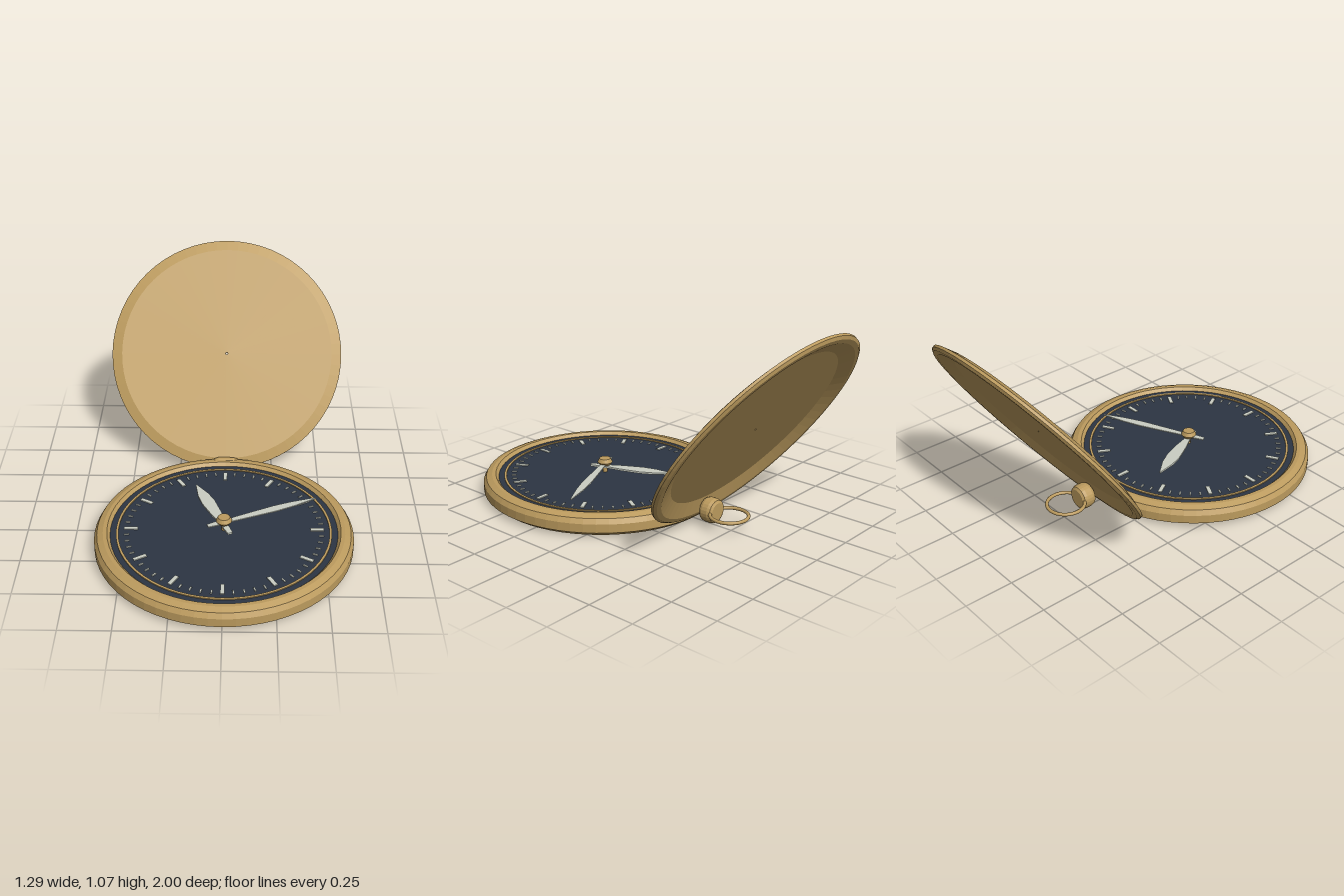
import * as THREE from 'three';

const brass = new THREE.MeshStandardMaterial({ color: 0xbc9b5e });
brass.name = 'brass';
const navy = new THREE.MeshStandardMaterial({ color: 0x2c3543 });
navy.name = 'navy';
const ivory = new THREE.MeshStandardMaterial({ color: 0xcacec3 });
ivory.name = 'ivory';

const SEGMENTS = 64;
const CENTRE_Z = 0.35;
const DIAL_Y = 0.09;

// Gives every face its own flat normal
function faceted(geometry) {
  const flat = geometry.index ? geometry.toNonIndexed() : geometry;
  flat.computeVertexNormals();
  return flat;
}

function add(parent, name, geometry, material, x = 0, y = 0, z = 0) {
  const mesh = new THREE.Mesh(geometry, material);
  mesh.name = name;
  mesh.position.set(x, y, z);
  parent.add(mesh);
  return mesh;
}

function lathe(points, segments = SEGMENTS) {
  return faceted(new THREE.LatheGeometry(points.map(([r, y]) => new THREE.Vector2(r, y)), segments));
}

// Leaf-shaped hand with a short tail, lying flat and pointing to -z
function handGeometry(length, width, tail, thickness) {
  const half = [[0.012, -tail], [0.016, -tail * 0.4], [0.012, 0], [width * 0.38, length * 0.25],
    [width * 0.5, length * 0.55], [width * 0.4, length * 0.75], [0.003, length]];
  const outline = [...half, ...half.slice().reverse().map(([x, y]) => [-x, y])];
  const shape = new THREE.Shape(outline.map(([x, y]) => new THREE.Vector2(x, y)));
  const geometry = new THREE.ExtrudeGeometry(shape, { depth: thickness, bevelEnabled: false });
  return geometry.rotateX(-Math.PI / 2);
}

function createModel() {
  const model = new THREE.Group();
  model.name = 'pocketWatch';

  // Case: bevelled ring, open underneath
  const watch = new THREE.Group();
  watch.name = 'watchBody';
  watch.position.z = CENTRE_Z;
  model.add(watch);
  add(watch, 'case', lathe([
    [0.545, 0.08], [0.545, 0], [0.61, 0], [0.645, 0.025], [0.645, 0.07], [0.63, 0.095],
    [0.6, 0.107], [0.58, 0.107], [0.565, DIAL_Y], [0.545, 0.08],
  ]), brass);

  // Dial with its inlaid ring
  add(watch, 'dial', new THREE.CylinderGeometry(0.568, 0.568, 0.012, SEGMENTS), navy, 0, DIAL_Y - 0.006, 0);
  add(watch, 'dialRing', lathe([
    [0.524, 0], [0.536, 0], [0.536, 0.005], [0.524, 0.005], [0.524, 0],
  ]), brass, 0, DIAL_Y, 0);

  // Minute and hour marks
  const marks = new THREE.Group();
  marks.name = 'dialMarks';
  watch.add(marks);
  for (let i = 0; i < 60; i++) {
    const isHour = i % 5 === 0;
    const length = isHour ? 0.068 : 0.025;
    const angle = (i / 60) * Math.PI * 2;
    const radius = 0.497 - length / 2;
    const mark = add(marks, isHour ? 'hourMark' : 'minuteMark',
      new THREE.BoxGeometry(isHour ? 0.02 : 0.008, 0.005, length), ivory,
      Math.sin(angle) * radius, DIAL_Y + 0.0025, -Math.cos(angle) * radius);
    mark.rotation.y = -angle;
  }

  // Hands and hub
  const hourHand = add(watch, 'hourHand', handGeometry(0.37, 0.07, 0.08, 0.01), ivory, 0, 0.114, 0);
  hourHand.rotation.y = 0.415;
  const minuteHand = add(watch, 'minuteHand', handGeometry(0.51, 0.046, 0.088, 0.006), ivory, 0, 0.133, 0);
  minuteHand.rotation.y = -1.148;
  add(watch, 'handPin', new THREE.CylinderGeometry(0.012, 0.012, 0.05, 16), brass, 0, 0.113, 0);
  add(watch, 'hub', lathe([
    [0, 0.131], [0.03, 0.131], [0.04, 0.146], [0.03, 0.166], [0, 0.166],
  ], 24), brass);

  // Open lid: shallow dish leaning back, with a pinhole in the middle
  const lid = add(model, 'lid', lathe([
    [0.006, 0.012], [0.51, 0.012], [0.59, -0.018], [0.615, -0.018], [0.63, -0.008],
    [0.63, 0.006], [0.575, 0.024], [0.006, 0.024], [0.006, 0.012],
  ]), brass, 0, 0.55, -0.64);
  lid.rotation.x = 0.963;

  // Hinge barrel
  const hinge = add(model, 'hinge', lathe([
    [0, -0.063], [0.018, -0.063], [0.025, -0.04], [0.025, 0.04], [0.018, 0.063], [0, 0.063],
  ], 20), brass, 0, 0.087, -0.263);
  hinge.rotation.z = Math.PI / 2;

  // Winding crown
  const crown = add(model, 'crown', lathe([
    [0, -0.04], [0.045, -0.04], [0.058, -0.032], [0.064, -0.016], [0.064, 0.016],
    [0.058, 0.032], [0.045, 0.04], [0, 0.04],
  ], 24), brass, 0, 0.074, -0.376);
  crown.rotation.x = Math.PI / 2;

  // Chain loop
  const loop = add(model, 'chainLoop', new THREE.TorusGeometry(0.095, 0.009, 10, 40), brass, 0, 0.076, -0.487);
  loop.rotation.x = Math.PI / 2;

  return model;
}

export { createModel };
